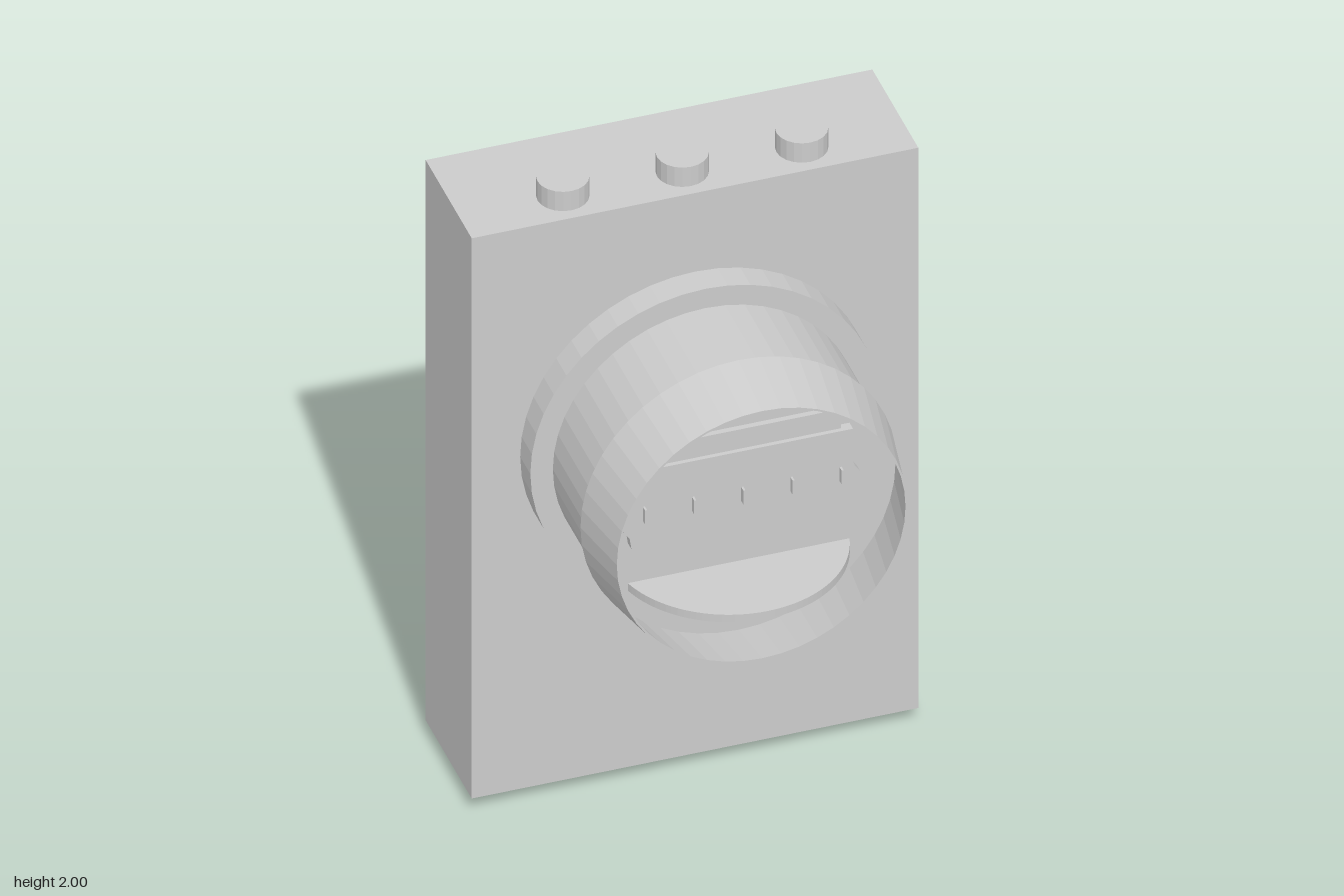
import * as THREE from 'three';

const CY = 1.165; // height of the dial axis

export function createModel() {
  const group = new THREE.Group();
  const mat = new THREE.MeshStandardMaterial({ color: 0xcccccc, flatShading: true });

  const add = (name, geo, x = 0, y = 0, z = 0) => {
    const mesh = new THREE.Mesh(geo, mat);
    mesh.name = name;
    mesh.position.set(x, y, z);
    group.add(mesh);
    return mesh;
  };
  // Box given by its limits
  const box = (name, x0, x1, y0, y1, z0, z1) =>
    add(name, new THREE.BoxGeometry(x1 - x0, y1 - y0, z1 - z0), (x0 + x1) / 2, (y0 + y1) / 2, (z0 + z1) / 2);
  // Disc lying along z around the dial axis
  const disc = (name, r, z0, z1) =>
    add(name, new THREE.CylinderGeometry(r, r, z1 - z0, 48).rotateX(Math.PI / 2), 0, CY, (z0 + z1) / 2);

  // Housing
  box('housing', -0.645, 0.645, 0.045, 1.935, -0.5, -0.115);

  // Conduit hubs above and below
  for (const x of [-0.345, 0, 0.345]) {
    add('topHub', new THREE.CylinderGeometry(0.073, 0.073, 0.065, 20), x, 1.9675, -0.222);
    add('bottomHub', new THREE.CylinderGeometry(0.073, 0.073, 0.045, 20), x, 0.0225, -0.303);
  }

  // Mounting ring, meter body and sealing tab
  disc('mountingRing', 0.505, -0.115, -0.03);
  disc('meterBody', 0.44, -0.03, 0.25);
  box('sealTab', -0.05, 0.05, 0.56, 0.68, -0.1, -0.09);

  // Thin tapered bezel, open at the front
  const bezel = [[0.453, 0.25], [0.457, 0.25], [0.42, 0.447], [0.414, 0.447], [0.453, 0.25]]
    .map(([r, z]) => new THREE.Vector2(r, z));
  add('bezel', new THREE.LatheGeometry(bezel, 48).rotateX(Math.PI / 2), 0, CY, 0).material =
    new THREE.MeshStandardMaterial({ color: 0xcccccc, flatShading: true, side: THREE.DoubleSide });

  // Name plate behind the register
  box('namePlate', -0.29, 0.29, 1.3, 1.4, 0.25, 0.267);

  // Register plate with a small ear on each side
  const half = [[0.32, 1.08], [0.325, 1.115], [0.342, 1.14], [0.342, 1.185], [0.325, 1.21], [0.32, 1.225], [0.32, 1.335]];
  const outline = [...half, ...half.map(([x, y]) => [-x, y]).reverse()].map(([x, y]) => new THREE.Vector2(x, y));
  add('registerPlate', new THREE.ExtrudeGeometry(new THREE.Shape(outline), { depth: 0.03, bevelEnabled: false }), 0, 0, 0.25);

  // Dial pointers
  for (let i = -2; i <= 2; i++) {
    box('dialPointer', i * 0.142 - 0.003, i * 0.142 + 0.003, 1.168, 1.215, 0.28, 0.298);
  }

  // Rotor disc: a circular segment standing out of the meter face
  const R = 0.331, a = Math.asin(0.084 / R);
  const segment = new THREE.Shape().absarc(0, 0, R, a, Math.PI - a, false);
  const rotor = new THREE.ExtrudeGeometry(segment, { depth: 0.025, bevelEnabled: false, curveSegments: 24 });
  add('rotorDisc', rotor.rotateX(Math.PI / 2), 0, 0.945, 0.166);

  return group;
}
